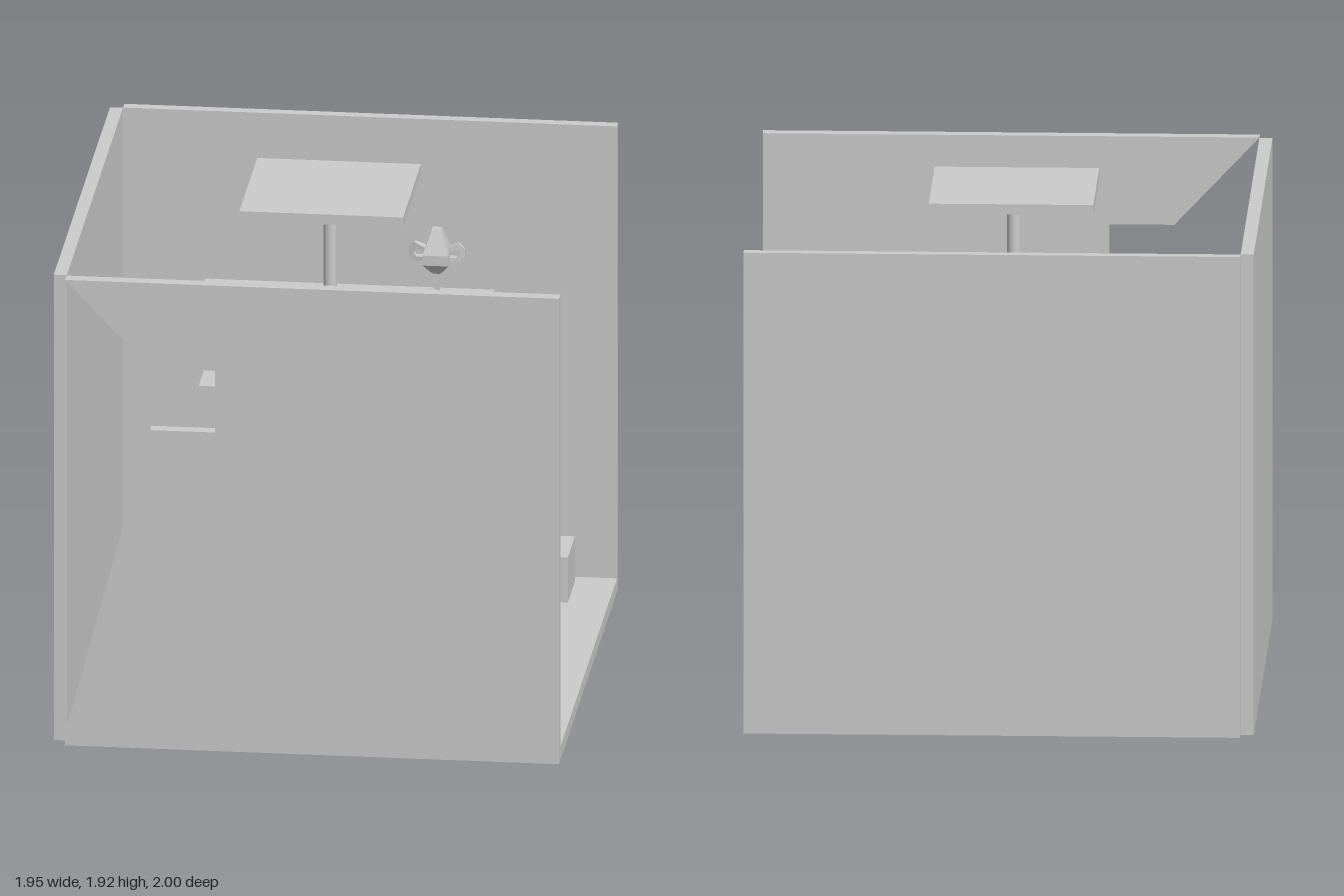
import * as THREE from 'three';

const grey = new THREE.MeshStandardMaterial({ color: 0xcccccc, side: THREE.DoubleSide });
const flatGrey = new THREE.MeshStandardMaterial({ color: 0xcccccc, flatShading: true, side: THREE.DoubleSide });

export function createModel() {
  const model = new THREE.Group();

  function add(name, geometry, material = grey, parent = model) {
    const mesh = new THREE.Mesh(geometry, material);
    mesh.name = name;
    parent.add(mesh);
    return mesh;
  }

  // Box given by its limits on each axis
  function block(name, [x0, x1], [y0, y1], [z0, z1], parent = model) {
    const mesh = add(name, new THREE.BoxGeometry(x1 - x0, y1 - y0, z1 - z0), grey, parent);
    mesh.position.set((x0 + x1) / 2, (y0 + y1) / 2, (z0 + z1) / 2);
    return mesh;
  }

  // Flat outline pushed out along z from a starting depth
  function slab(name, points, z0, depth, parent = model) {
    const shape = new THREE.Shape(points.map(([x, y]) => new THREE.Vector2(x, y)));
    const geometry = new THREE.ExtrudeGeometry(shape, { depth, bevelEnabled: false });
    geometry.translate(0, 0, z0);
    return add(name, geometry, grey, parent);
  }

  // Floor and walls; the +x side and the ceiling are open
  block('floor', [-0.925, 0.97], [0, 0.055], [-0.955, 0.95]);
  block('backWall', [-0.925, 0.97], [0, 1.885], [-1, -0.957]);
  block('sideWall', [-0.975, -0.925], [0, 1.885], [-0.955, 0.945]);

  // Front wall with its flared window opening
  slab('frontWall', [
    [-0.925, 0], [0.97, 0], [0.97, 1.885], [-0.925, 1.885], [-0.6, 1.54],
    [-0.35, 1.54], [-0.35, 1.29], [-0.6, 1.29], [-0.925, 0.05],
  ], 0.95, 0.05);

  // Three shelves on each long wall
  for (const [y0, y1] of [[0.495, 0.545], [0.8, 0.85], [1.157, 1.205]]) {
    block('backShelf', [-0.61, 0.5], [y0, y1], [-0.957, -0.735]);
    block('frontShelf', [-0.61, 0.5], [y0, y1], [0.72, 0.95]);
  }

  // Raised square board on a round post
  block('boardTop', [-0.34, 0.288], [1.885, 1.925], [-0.34, 0.265]);
  add('boardPost', new THREE.CylinderGeometry(0.026, 0.026, 1.105, 32))
    .position.set(-0.025, 1.333, -0.027);

  // Storage boxes on the floor
  block('largeBox', [0.37, 0.595], [0.055, 0.335], [-0.948, -0.622]);
  block('smallBox', [0.65, 0.815], [0.055, 0.237], [-0.905, -0.665]);

  // Four-sided cup on the top shelf
  const cup = new THREE.Group();
  cup.name = 'cup';
  cup.position.set(0.292, 1.205, -0.845);
  model.add(cup);
  const profile = [
    [0, 0], [0.034, 0], [0.034, 0.024], [0.011, 0.03], [0.011, 0.1], [0.018, 0.105],
    [0.05, 0.145], [0.05, 0.185], [0.018, 0.28], [0, 0.28],
  ].map(([halfWidth, y]) => new THREE.Vector2(halfWidth * Math.SQRT2, y));
  add('cupBody', new THREE.LatheGeometry(profile, 4, Math.PI / 4), flatGrey, cup);

  // Bracket-shaped handles, tapering towards their outer ends
  for (const side of [-1, 1]) {
    const handle = slab('cupHandle', [
      [0.04, 0.15], [0.085, 0.15], [0.108, 0.17], [0.108, 0.2], [0.085, 0.225], [0.04, 0.205],
      [0.04, 0.188], [0.08, 0.2], [0.088, 0.19], [0.088, 0.178], [0.078, 0.168], [0.04, 0.168],
    ], -0.02, 0.04, cup);
    const p = handle.geometry.attributes.position;
    for (let i = 0; i < p.count; i++) {
      const t = (p.getX(i) - 0.04) / 0.068;
      p.setZ(i, p.getZ(i) * (1 - 0.7 * t));
    }
    handle.geometry.computeVertexNormals();
    handle.rotation.y = side > 0 ? 0 : Math.PI;
  }

  return model;
}
